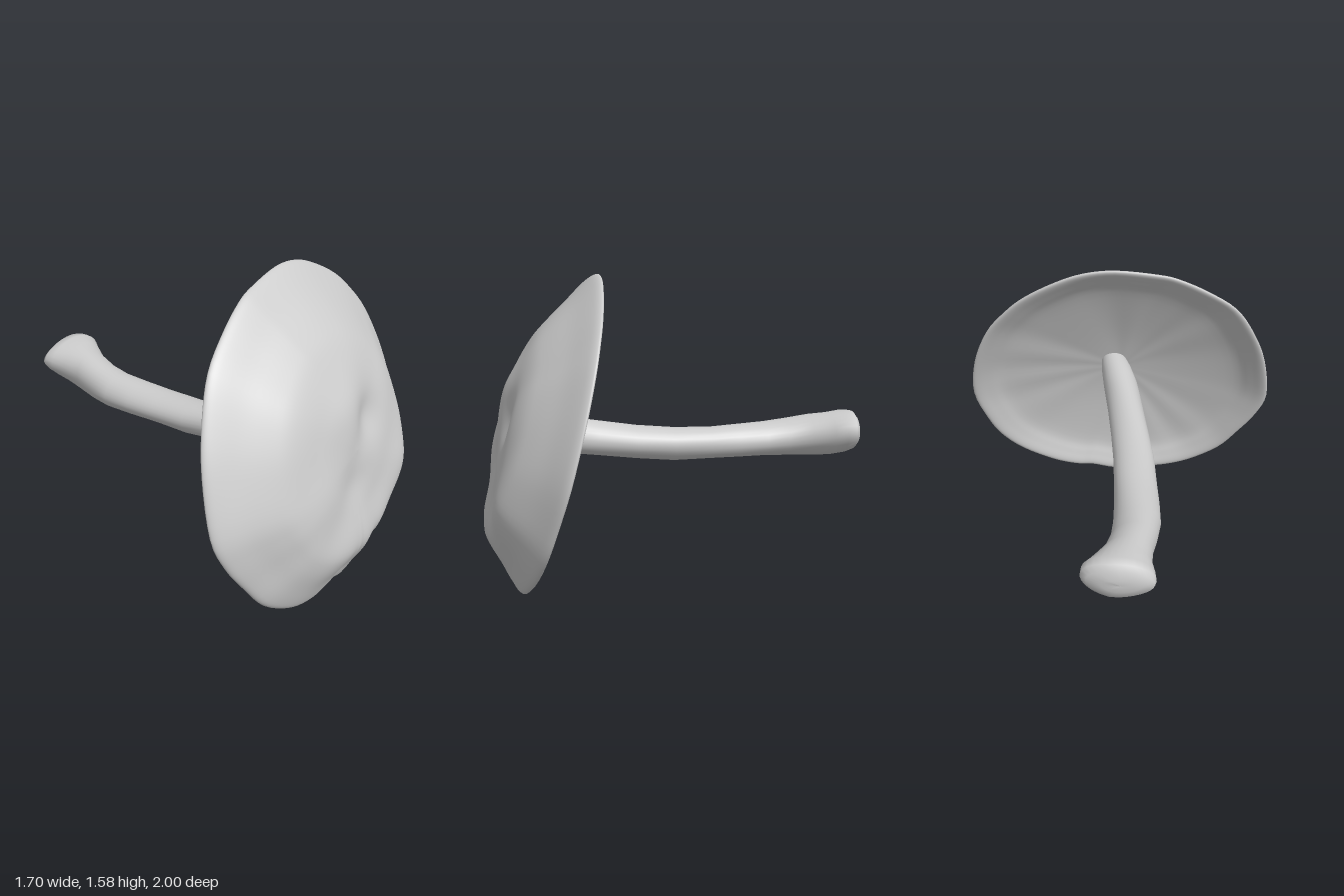
import * as THREE from 'three';

const material = new THREE.MeshStandardMaterial({ color: 0xcccccc, side: THREE.DoubleSide });

// Skin a list of closed rings (equal point counts) into a smooth surface.
function loft(name, rings) {
  const n = rings[0].length, index = [];
  for (let i = 0; i < rings.length - 1; i++) {
    for (let j = 0; j < n; j++) {
      const k = (j + 1) % n;
      const a = i * n + j, b = (i + 1) * n + j, c = (i + 1) * n + k, d = i * n + k;
      index.push(a, b, c, a, c, d);
    }
  }
  const geometry = new THREE.BufferGeometry().setFromPoints(rings.flat());
  geometry.setIndex(index);
  geometry.computeVertexNormals();
  const mesh = new THREE.Mesh(geometry, material);
  mesh.name = name;
  return mesh;
}

// Smooth round bump centred on (cx, cy), with radii rx and ry.
const bump = (x, y, cx, cy, rx, ry = rx) => Math.exp(-(((x - cx) / rx) ** 2) - ((y - cy) / ry) ** 2);

// Cap: an irregular outline with a slit, scaled through a domed profile.
function createCap() {
  const outline = [
    [-0.045, 0.02], [0.04, 0.003], [0.18, 0.04], [0.28, 0.045], [0.42, 0.09], [0.6, 0.2],
    [0.72, 0.33], [0.79, 0.48], [0.845, 0.7], [0.81, 0.95], [0.72, 1.17], [0.61, 1.31],
    [0.5, 1.41], [0.34, 1.505], [0.19, 1.565], [0.02, 1.585], [-0.2, 1.557], [-0.31, 1.525],
    [-0.46, 1.445], [-0.62, 1.325], [-0.73, 1.15], [-0.81, 0.94], [-0.85, 0.67], [-0.8, 0.5],
    [-0.71, 0.35], [-0.6, 0.2], [-0.42, 0.08], [-0.25, 0.027], [-0.105, 0.02],
  ].map(([x, y]) => new THREE.Vector2(x, y));
  const spokes = new THREE.SplineCurve(outline).getPoints(112)
    .map((p) => ({ x: p.x, y: p.y - 0.79, limit: 1 }));
  // the two spokes at the inner end of the slit stop short
  spokes.push({ x: -0.094, y: -0.778, limit: 0.83 }, { x: -0.073, y: -0.778, limit: 0.83 });

  // radius fraction and height over the rim plane: top skin, lip, underside
  const profile = new THREE.SplineCurve([
    [0, 0.3], [0.1, 0.295], [0.22, 0.285], [0.36, 0.28], [0.5, 0.265], [0.62, 0.235],
    [0.72, 0.185], [0.84, 0.112], [0.94, 0.055], [0.985, 0.025], [1, 0.003], [0.985, -0.006],
    [0.95, 0.002], [0.88, 0.033], [0.77, 0.075], [0.5, 0.12], [0.25, 0.15], [0, 0.165],
  ].map(([t, h]) => new THREE.Vector2(t, h))).getPoints(68);
  const lip = 40;

  const rings = profile.map((point, i) => spokes.map((s) => {
    let p = point;
    if (p.x > s.limit) {
      const inside = (q) => q.x <= s.limit;
      p = i <= lip ? profile.slice(0, lip).findLast(inside) : profile.slice(lip).find(inside);
    }
    const t = Math.max(p.x, 0), x = s.x * t, y = 0.79 + s.y * t;
    let h = p.y;
    if (i < lip) {
      // dents and lumps on the flattened crown
      const fade = 1 - t * t;
      h += fade * 0.006 * (Math.sin(9 * x + 5 * y) + Math.sin(13 * y - 6 * x + 1) * Math.cos(8 * x));
      h -= 0.03 * bump(x, y, 0.17, 0.88, 0.11) + 0.02 * bump(x, y, -0.05, 0.63, 0.12);
      h += 0.035 * bump(x, y, -0.05, 1, 0.16);
      h -= 0.025 * bump(x, y, 0, 0.5, 0.4, 0.14);
      h += 0.012 * bump(x, y, -0.05, 0.28, 0.4, 0.12) + 0.03 * bump(x, y, 0.5, 0.5, 0.18);
    } else {
      // faint radial folds below
      const a = Math.atan2(s.y, s.x);
      h += 0.005 * Math.sin(11 * a + 2 * Math.sin(3 * a)) * t * t * (1 - t) * 4;
    }
    return new THREE.Vector3(x, y, 0.84 - 0.278 * y - 0.04 * x + h);
  }));
  return loft('cap', rings);
}

// Stem: bent oval sections, flaring to a blunt foot.
function createStem() {
  // z, centre x, centre y, half width, half height
  const sections = [
    [0.82, 0.055, 0.845, 0.06, 0.06], [0.7, 0.025, 0.812, 0.085, 0.085], [0.6, 0, 0.782, 0.095, 0.092],
    [0.5, -0.02, 0.76, 0.097, 0.092], [0.4, -0.038, 0.742, 0.098, 0.09],
    [0.2, -0.068, 0.71, 0.102, 0.087], [0, -0.09, 0.69, 0.107, 0.087], [-0.2, -0.1, 0.687, 0.11, 0.083],
    [-0.35, -0.11, 0.689, 0.113, 0.087], [-0.5, -0.116, 0.692, 0.116, 0.091], [-0.62, -0.105, 0.7, 0.112, 0.1],
    [-0.74, -0.08, 0.713, 0.115, 0.111], [-0.84, -0.048, 0.725, 0.143, 0.113], [-0.92, -0.035, 0.74, 0.168, 0.112],
    [-0.965, -0.035, 0.747, 0.172, 0.1], [-0.985, -0.045, 0.745, 0.155, 0.075], [-0.997, -0.05, 0.742, 0.09, 0.035],
    [-0.995, -0.05, 0.742, 0, 0],
  ];
  const sides = 28;
  const rings = sections.map(([z, cx, cy, w, h]) => Array.from({ length: sides }, (_, j) => {
    const a = (j / sides) * Math.PI * 2;
    const lump = 1 + 0.025 * Math.sin(3 * a + 7 * z);
    const x = cx + w * lump * Math.cos(a);
    // the foot is cut back on one side
    const slant = z < -0.9 ? 0.18 * Math.max(0, x) : 0;
    return new THREE.Vector3(x, cy + h * lump * Math.sin(a), z + slant);
  }));
  return loft('stem', rings);
}

export function createModel() {
  const group = new THREE.Group();
  group.name = 'mushroom';
  group.add(createCap(), createStem());
  return group;
}
